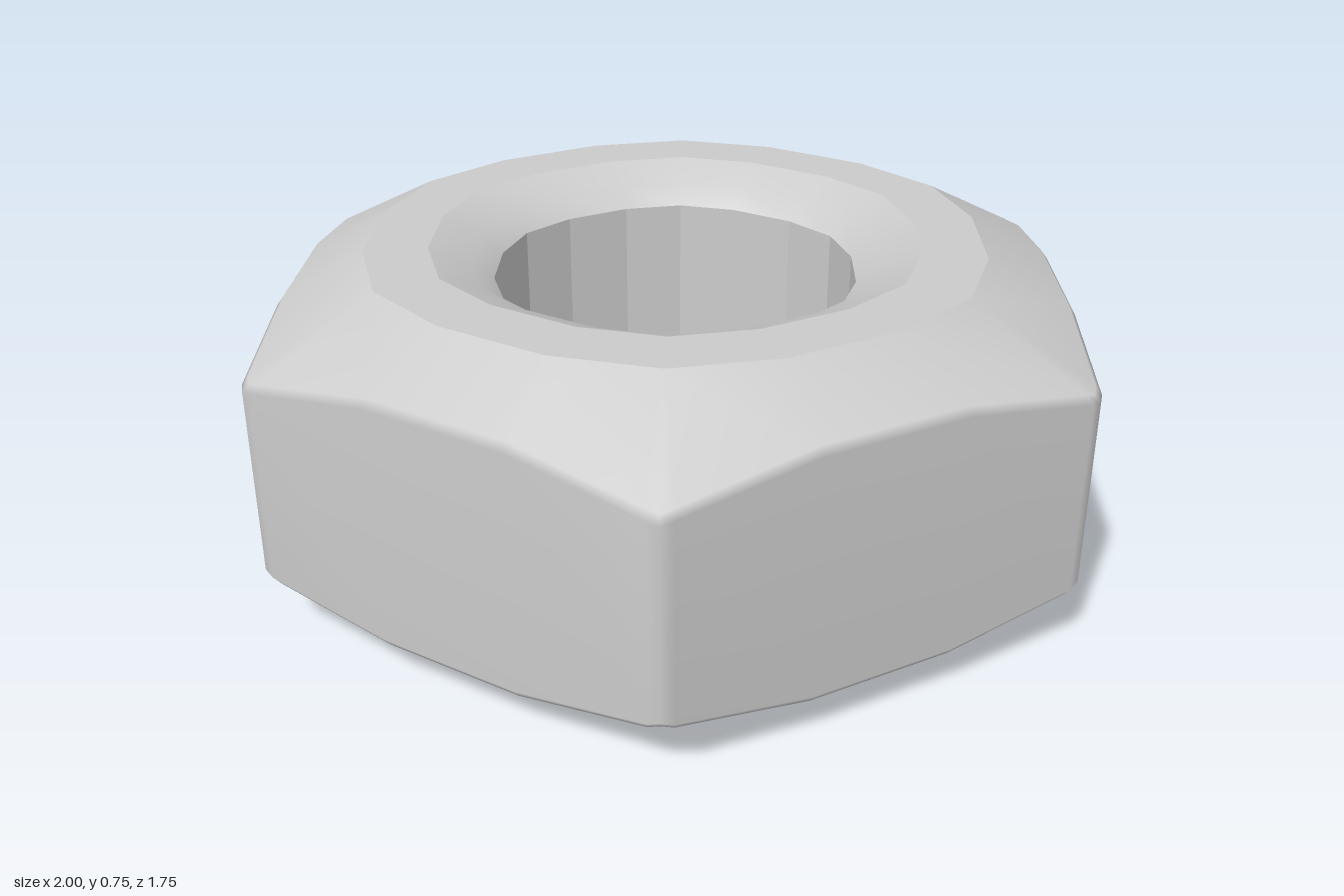
import * as THREE from 'three';
import { mergeVertices } from 'three/addons/utils/BufferGeometryUtils.js';

const H = 0.755;          // full height
const R = 1.008;          // hexagon radius before its corners are eased
const STEPS = [0, 0.03, 1 / 3, 2 / 3, 0.97]; // positions along each hexagon side

// Visit each point around the nut: side number and position along that side
function around(fn) {
  const points = [];
  for (let side = 0; side < 6; side++) for (const t of STEPS) points.push(fn(side, t));
  return points;
}

const corner = (side) => {
  const a = (side * Math.PI) / 3;
  return new THREE.Vector3(Math.cos(a), 0, Math.sin(a));
};

// Hexagonal loop whose height follows the conical chamfer
function hexLoop(scale, offset, top) {
  return around((side, t) => {
    const p = corner(side).lerp(corner(side + 1), t).multiplyScalar(t === 0 ? 1 : R);
    const y = (t === 0 ? 0.6 : t === 0.03 || t === 0.97 ? 0.608 : 0.655) + offset;
    p.multiplyScalar(scale);
    p.y = top ? y : H - y;
    return p;
  });
}

// Eighteen-sided loop lined up with the hexagon's corners and side thirds
function roundLoop(radius, y) {
  return around((side, t) => {
    const s = t < 0.1 ? 0 : t > 0.9 ? 1 : t;
    const p = corner(side).lerp(corner(side + 1), s).normalize();
    p.multiplyScalar(s === 0 || s === 1 ? radius : radius * 0.98);
    p.y = y;
    return p;
  });
}

// Skin a list of loops
function band(name, loops, flatShading = false) {
  const n = loops[0].length;
  const index = [];
  for (let i = 0; i < loops.length - 1; i++) {
    for (let j = 0; j < n; j++) {
      const k = (j + 1) % n;
      const a = i * n + j, b = i * n + k, c = b + n, d = a + n;
      index.push(a, d, c, a, c, b);
    }
  }
  let geometry = new THREE.BufferGeometry().setFromPoints(loops.flat());
  geometry.setIndex(index);
  geometry = mergeVertices(geometry, 1e-5);
  geometry.computeVertexNormals();
  const mesh = new THREE.Mesh(geometry, new THREE.MeshStandardMaterial({ color: 0xcccccc, flatShading }));
  mesh.name = name;
  return mesh;
}

export function createModel() {
  const nut = new THREE.Group();
  nut.name = 'hexNut';

  const rim = 0.71, mouth = 0.565, throat = 0.47, bore = 0.42;
  const throatDrop = 0.04, boreDrop = 0.08;

  // Hexagonal body with eased edges and conical chamfers
  nut.add(band('hexBody', [
    roundLoop(rim, 0),
    hexLoop(0.985, 0.006, false),
    hexLoop(1, -0.012, false),
    hexLoop(1, -0.012, true),
    hexLoop(0.985, 0.006, true),
    roundLoop(rim, H),
  ]));

  // Flat bearing faces
  nut.add(band('topFace', [roundLoop(rim, H), roundLoop(mouth, H)]));
  nut.add(band('bottomFace', [roundLoop(mouth, 0), roundLoop(rim, 0)]));

  // Countersinks leading into the hole
  nut.add(band('topCountersink', [
    roundLoop(mouth, H), roundLoop(throat, H - throatDrop), roundLoop(bore, H - boreDrop),
  ]));
  nut.add(band('bottomCountersink', [
    roundLoop(bore, boreDrop), roundLoop(throat, throatDrop), roundLoop(mouth, 0),
  ]));

  // Faceted hole wall
  nut.add(band('holeWall', [roundLoop(bore, H - boreDrop), roundLoop(bore, boreDrop)], true));

  return nut;
}
